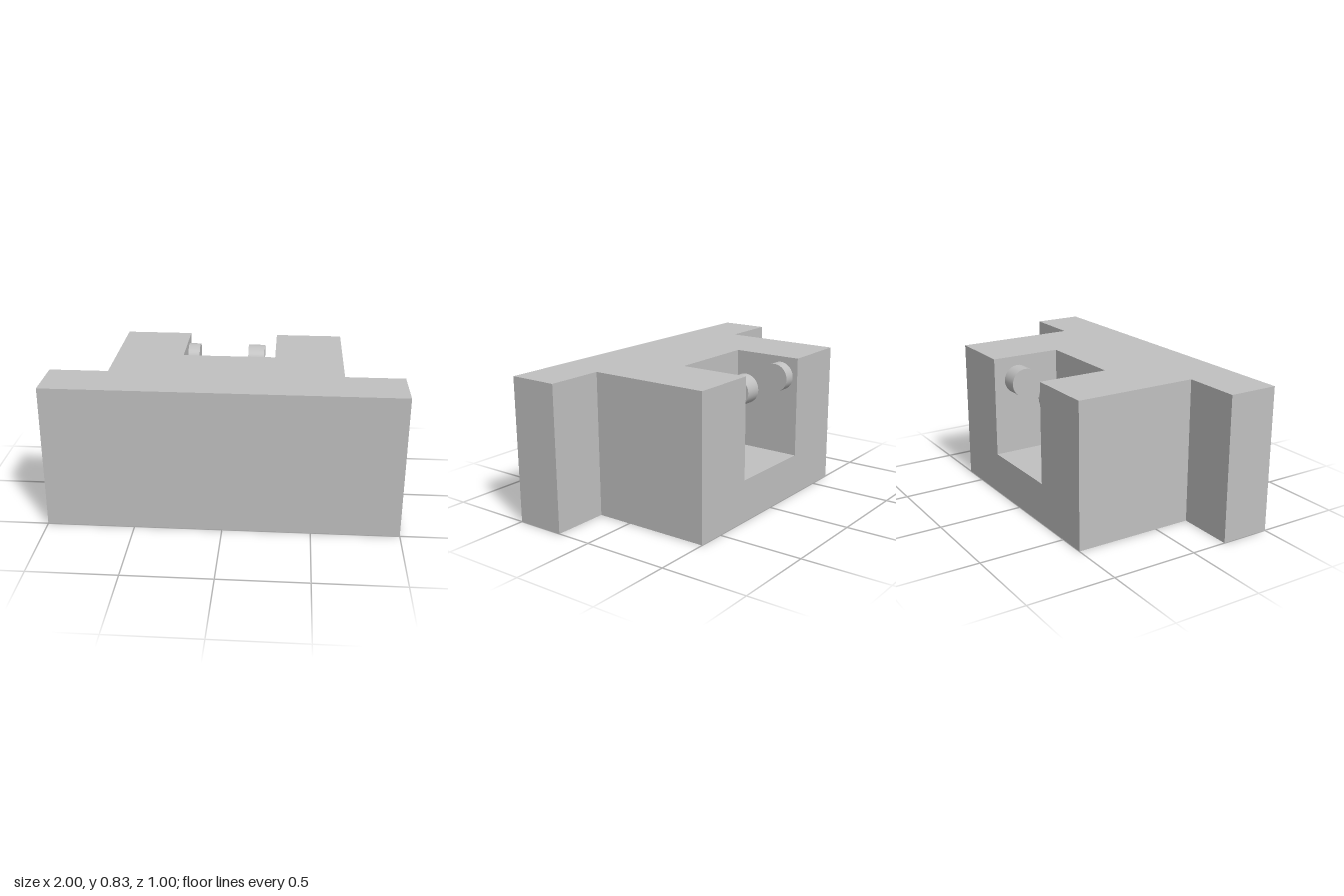
import * as THREE from 'three';

export function createModel() {
  const group = new THREE.Group();
  const grey = new THREE.MeshStandardMaterial({ color: 0xc0c0c0 });
  grey.name = 'grey';

  const height = 0.834, floorY = 0.245;
  const notchX = 0.27, notchZ = -0.085, backZ = -0.5;

  const add = (name, geometry, x = 0, y = 0, z = 0) => {
    const mesh = new THREE.Mesh(geometry, grey);
    mesh.name = name;
    mesh.position.set(x, y, z);
    group.add(mesh);
  };

  // T-shaped body with a notch in its back, drawn as a plan (x, z): right half, then mirrored
  const half = [[1, 0.5], [1, 0.21], [0.665, 0.21], [0.665, backZ], [notchX, backZ], [notchX, notchZ]];
  const plan = [...half, ...half.map(([x, z]) => [-x, z]).reverse()];
  const shape = new THREE.Shape(plan.map(([x, z]) => new THREE.Vector2(x, -z)));
  const body = new THREE.ExtrudeGeometry(shape, { depth: height, bevelEnabled: false });
  body.rotateX(-Math.PI / 2);
  add('body', body);

  // Solid block that closes the lower part of the notch
  const depth = notchZ - backZ;
  add('notchFloor', new THREE.BoxGeometry(notchX * 2, floorY, depth), 0, floorY / 2, backZ + depth / 2);

  // Two round pins lying across the notch
  const addPin = (name, x0, x1) => {
    const pin = new THREE.CylinderGeometry(0.083, 0.083, x1 - x0, 40);
    pin.rotateZ(Math.PI / 2);
    add(name, pin, (x0 + x1) / 2, 0.718, -0.387);
  };
  addPin('rightPin', -notchX, -0.2);
  addPin('leftPin', 0.1, 0.2);

  return group;
}
